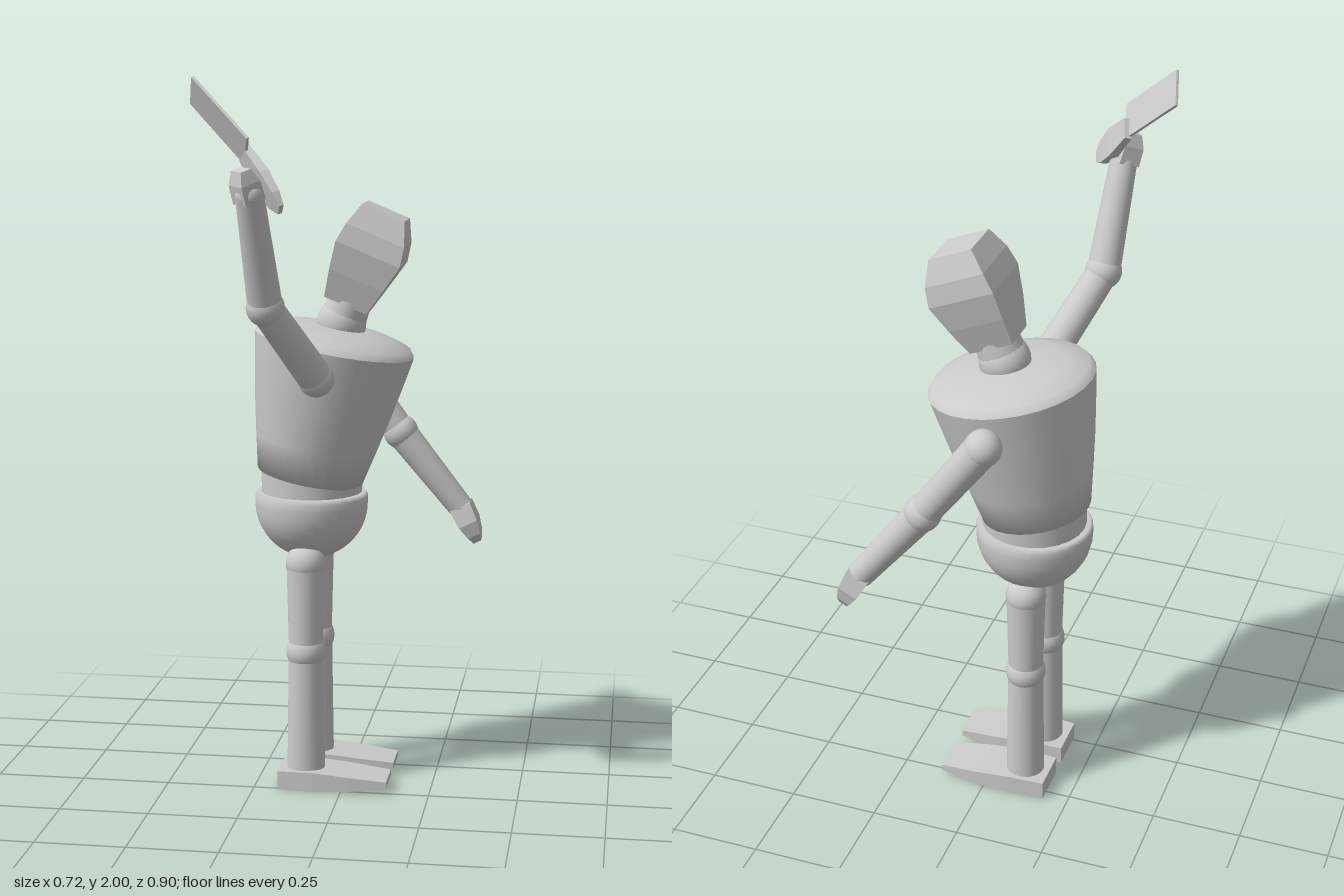
import * as THREE from 'three';

const V = (x, y, z) => new THREE.Vector3(x, y, z);
const UP = V(0, 1, 0);

export function createModel() {
  const root = new THREE.Group();
  const mat = new THREE.MeshStandardMaterial({ color: 0xcccccc });

  function add(name, geo, pos, parent = root) {
    const m = new THREE.Mesh(geo, mat);
    m.name = name;
    m.position.copy(pos);
    parent.add(m);
    return m;
  }
  const ball = (name, p, r, parent) => add(name, new THREE.SphereGeometry(r, 24, 16), p, parent);

  // Tapered round rod between two points
  function rod(name, a, b, ra, rb, parent) {
    const dir = b.clone().sub(a);
    const m = add(name, new THREE.CylinderGeometry(rb, ra, dir.length(), 24), a.clone().add(b).multiplyScalar(0.5), parent);
    m.quaternion.setFromUnitVectors(UP, dir.normalize());
    return m;
  }

  // Faceted block lofted through rectangles [y, x0, x1, halfZ];
  // local y runs along dir, local z along width
  function block(name, rows, pos, dir, width, parent) {
    const p = [], q = [];
    rows.forEach(([y, x0, x1, h], r) => {
      p.push(x0, y, -h, x0, y, h, x1, y, h, x1, y, -h);
      if (!r) return;
      for (let i = 0; i < 4; i++) {
        const a = (r - 1) * 4 + i, b = (r - 1) * 4 + (i + 1) % 4;
        q.push(a, b, b + 4, a, b + 4, a + 4);
      }
    });
    const t = (rows.length - 1) * 4;
    q.push(0, 2, 1, 0, 3, 2, t, t + 1, t + 2, t, t + 2, t + 3);
    let g = new THREE.BufferGeometry();
    g.setAttribute('position', new THREE.Float32BufferAttribute(p, 3));
    g.setIndex(q);
    g = g.toNonIndexed();
    g.computeVertexNormals();
    const m = add(name, g, pos, parent);
    const Y = dir.clone().normalize();
    const Z = width.clone().addScaledVector(Y, -width.dot(Y)).normalize();
    m.quaternion.setFromRotationMatrix(new THREE.Matrix4().makeBasis(Y.clone().cross(Z), Y, Z));
    return m;
  }

  // Lathe from [radius, height] pairs listed bottom to top
  const lathe = (pts) => new THREE.LatheGeometry(pts.map(([r, y]) => new THREE.Vector2(r, y)), 28);
  const zc = -0.138;

  // Pelvis bowl with a rounded rim
  const bowl = [];
  for (let i = 0; i <= 10; i++) {
    const a = (i / 10) * Math.PI / 2;
    bowl.push([0.16 * Math.sin(a), 0.81 - 0.16 * Math.cos(a)]);
  }
  bowl.push([0.16, 0.83], [0.153, 0.842], [0, 0.842]);
  add('pelvis', lathe(bowl), V(-0.103, 0, zc));
  rod('waist', V(-0.103, 0.83, zc), V(-0.1, 0.91, zc), 0.142, 0.145);

  // Chest leaning forward, with a shallow domed top
  const chest = new THREE.Group();
  chest.name = 'chest';
  chest.position.set(-0.108, 0.885, zc);
  chest.rotation.z = -0.185;
  root.add(chest);
  add('ribcage', lathe([[0, 0], [0.15, 0], [0.172, 0.1], [0.195, 0.21], [0.215, 0.32], [0.226, 0.385]]), V(0, 0, 0), chest);
  add('shoulderCap', lathe([[0.226, 0.385], [0.212, 0.405], [0.16, 0.422], [0.09, 0.432], [0, 0.436]]), V(0, 0, 0), chest);

  // Neck and angular head
  ball('neckBall', V(-0.018, 1.32, zc), 0.07);
  rod('neck', V(-0.022, 1.31, zc), V(0.01, 1.39, zc), 0.066, 0.06);
  block('head', [
    [0, -0.063, 0.063, 0.056],
    [0.08, -0.077, 0.083, 0.079],
    [0.16, -0.088, 0.102, 0.095],
    [0.215, -0.08, 0.092, 0.09],
    [0.278, -0.062, 0.064, 0.066],
  ], V(0, 1.375, zc), V(0.38, 0.925, 0), V(0, 0, 1));

  // Jointed arm: shoulder, elbow, wrist
  function arm(name, s, e, w) {
    const g = new THREE.Group();
    g.name = name;
    root.add(g);
    ball('shoulder', s, 0.05, g);
    rod('upperArm', s, e, 0.048, 0.044, g);
    ball('elbow', e, 0.051, g);
    rod('forearm', e, w, 0.046, 0.037, g);
    ball('wrist', w, 0.037, g);
    return g;
  }
  const raised = arm('raisedArm', V(-0.05, 1.2, 0.112), V(-0.156, 1.41, 0.28), V(-0.173, 1.705, 0.395));
  const lowered = arm('loweredArm', V(-0.05, 1.2, -0.395), V(0.12, 0.97, -0.395), V(0.297, 0.748, -0.407));

  // Mitten hands
  block('hand', [
    [0, -0.035, 0.03, 0.036], [0.055, -0.032, 0.026, 0.045], [0.095, -0.022, 0.017, 0.036], [0.118, -0.012, 0.012, 0.018],
  ], V(0.295, 0.752, -0.407), V(0.05, -0.098, 0), V(0, 0, 1), lowered);
  block('palm', [
    [0, -0.03, 0.03, 0.034], [0.05, -0.028, 0.028, 0.034], [0.085, -0.015, 0.015, 0.026],
  ], V(-0.174, 1.69, 0.39), V(-0.02, 0.09, 0.022), V(0.04, 0, 0.05), raised);
  block('fingers', [
    [0, -0.01, 0.01, 0.029], [0.1, -0.013, 0.013, 0.04], [0.165, -0.01, 0.01, 0.032], [0.2, -0.006, 0.006, 0.016],
  ], V(-0.198, 1.81, 0.334), V(0.11, -0.135, 0.096), V(0.025, 0.02, 0.046), raised);

  // Thin plate held up by the raised hand
  block('plate', [[0, -0.004, 0.004, 0.051], [0.24, -0.004, 0.004, 0.051]],
    V(-0.185, 1.815, 0.367), V(-0.16, 0.15, -0.097), V(0.03, 0.06, 0.08), raised);

  // Legs and wedge feet
  for (const [name, z] of [['leftLeg', -0.221], ['rightLeg', -0.052]]) {
    const g = new THREE.Group();
    g.name = name;
    root.add(g);
    const x = -0.107;
    ball('hip', V(x, 0.65, z), 0.056, g);
    rod('thigh', V(x, 0.395, z), V(x, 0.65, z), 0.048, 0.054, g);
    ball('knee', V(x, 0.395, z), 0.056, g);
    rod('shin', V(x, 0.05, z), V(x, 0.395, z), 0.054, 0.049, g);
    block('foot', [
      [-0.18, -0.054, 0, 0.062], [-0.08, -0.056, 0, 0.068], [0.02, -0.046, -0.004, 0.066], [0.13, -0.034, -0.016, 0.056],
    ], V(0, 0, z), V(1, 0, 0), V(0, 0, 1), g);
  }
  return root;
}
